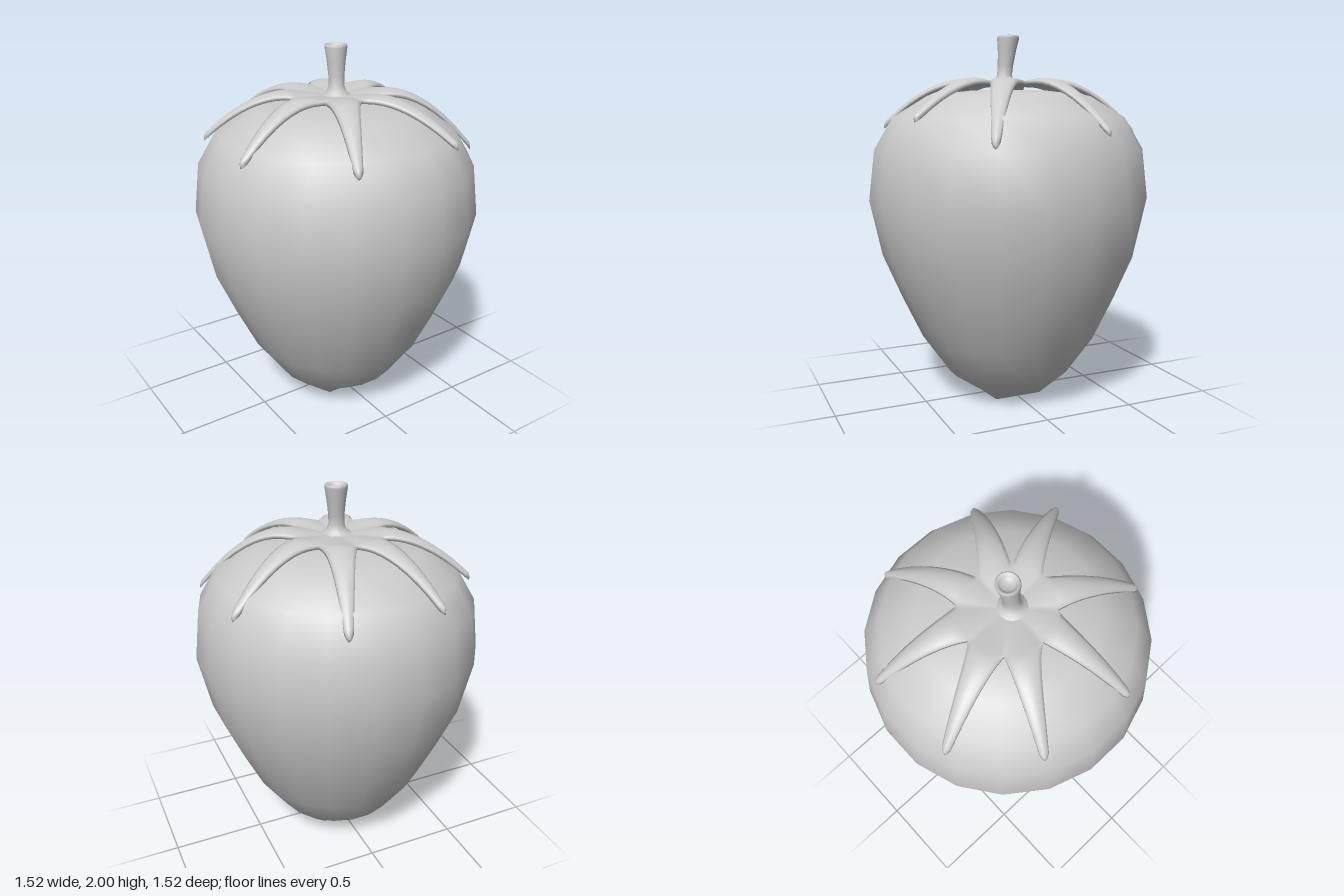
import * as THREE from 'three';
import { mergeVertices } from 'three/addons/utils/BufferGeometryUtils.js';

const material = new THREE.MeshStandardMaterial({ color: 0xcccccc, roughness: 0.8, side: THREE.DoubleSide });

// Weld coincident vertices and give the surface smooth normals
function smooth(geometry) {
  geometry.deleteAttribute('normal');
  geometry.deleteAttribute('uv');
  const welded = mergeVertices(geometry, 1e-4);
  welded.computeVertexNormals();
  return welded;
}

function lathe(profile, sides, phiStart = 0) {
  return new THREE.LatheGeometry(profile.map(([r, y]) => new THREE.Vector2(r, y)), sides, phiStart);
}

function addMesh(group, name, geometry) {
  const mesh = new THREE.Mesh(geometry, material);
  mesh.name = name;
  group.add(mesh);
}

// Fruit: a twenty-sided turned body whose lowest ring becomes a small square
function fruitGeometry() {
  const geometry = lathe([[0, 0], [0.133, 0], [0.345, 0.14], [0.493, 0.35], [0.602, 0.58], [0.705, 0.82],
    [0.77, 1.12], [0.738, 1.39], [0.638, 1.56], [0.45, 1.675], [0.23, 1.702], [0, 1.71]], 20, Math.PI / 20);
  const p = geometry.attributes.position;
  for (let i = 0; i < p.count; i++) {
    const x = p.getX(i), z = p.getZ(i), r = Math.hypot(x, z);
    if (p.getY(i) > 0.001 || r < 0.01) continue;
    const k = r / Math.max(Math.abs(x), Math.abs(z));
    p.setX(i, x * k);
    p.setZ(i, z * k);
  }
  return smooth(geometry);
}

// Leaf tips [x, y, z] and the notch [x, z] before each, counter-clockwise from above
const TIPS = [[0.30, 1.56, 0.63], [0.65, 1.44, 0.355], [0.655, 1.49, -0.255], [0.235, 1.48, -0.665],
  [-0.27, 1.52, -0.66], [-0.615, 1.53, -0.335], [-0.665, 1.52, 0.18], [-0.295, 1.52, 0.625]];
const NOTCHES = [[0, 0.23], [0.14, 0.16], [0.21, 0], [0.17, -0.17],
  [0, -0.25], [-0.17, -0.18], [-0.24, 0], [-0.17, 0.16]];
const INNER = 3, OUTER = 10, ACROSS = 8, THICK = 0.018;

// One leaf as rows of points running from the centre, past its notches, to the tip
function leafRows([tx, ty, tz], notchA, notchB) {
  const tip = new THREE.Vector2(tx, tz), length = tip.length();
  const along = tip.clone().normalize();
  const side = new THREE.Vector2(along.y, -along.x);
  const at = (u, w) => along.clone().multiplyScalar(u * length).addScaledVector(side, w);
  const edges = [[notchA, -1], [notchB, 1]].map(([n, sign]) => {
    const notch = new THREE.Vector2(...n);
    const curve = new THREE.CubicBezierCurve(notch, at(0.44, sign * 0.065), at(0.65, sign * 0.05), at(0.965, sign * 0.022));
    const points = [];
    for (let i = 0; i < INNER; i++) points.push(notch.clone().multiplyScalar(i / INNER));
    for (let i = 0; i <= OUTER; i++) points.push(curve.getPoint(i / OUTER));
    points.push(at(0.99, sign * 0.012), tip.clone());
    return points;
  });
  return edges[0].map((a, row) => {
    const outer = THREE.MathUtils.clamp((row - 1) / INNER, 0, 1);
    const points = [];
    for (let j = 0; j <= ACROSS; j++) {
      const s = j / ACROSS, q = a.clone().lerp(edges[1][row], s);
      const u = q.dot(along) / length;
      const drop = (1.755 - ty) * Math.pow(Math.max(0, (u - 0.38) / 0.62), 1.8);
      const dip = 0.012 * Math.max(0, 1 - q.length() / 0.2);
      const arch = row === edges[0].length - 1 ? 0 : 0.016 * outer * (1 - (2 * s - 1) ** 2);
      points.push([q.x, 1.75 - drop - dip + arch, q.y]);
    }
    return points;
  });
}

// Leaf crown: upper and lower sheets, joined by a rim outside the notches
function crownGeometry() {
  const data = [];
  const low = ([x, y, z]) => [x, y - THICK, z];
  const quad = (a, b, c, d) => data.push(...a, ...b, ...c, ...b, ...d, ...c);
  TIPS.forEach((tip, i) => {
    const rows = leafRows(tip, NOTCHES[i], NOTCHES[(i + 1) % NOTCHES.length]);
    for (let r = 0; r < rows.length - 1; r++) {
      const [p, n] = [rows[r], rows[r + 1]];
      for (let j = 0; j < ACROSS; j++) {
        quad(p[j], n[j], p[j + 1], n[j + 1]);
        quad(low(p[j]), low(p[j + 1]), low(n[j]), low(n[j + 1]));
      }
      if (r >= INNER) {
        quad(p[0], low(p[0]), n[0], low(n[0]));
        quad(p[ACROSS], n[ACROSS], low(p[ACROSS]), low(n[ACROSS]));
      }
    }
  });
  const geometry = new THREE.BufferGeometry();
  geometry.setAttribute('position', new THREE.Float32BufferAttribute(data, 3));
  return smooth(geometry);
}

// Stem: flared at both ends, hollowed on top, its foot leaning forward
function stemGeometry() {
  const geometry = lathe([[0.09, 1.735], [0.055, 1.755], [0.041, 1.79], [0.042, 1.84], [0.05, 1.92],
    [0.06, 1.985], [0.058, 1.998], [0.05, 2], [0.042, 1.99], [0.03, 1.978], [0, 1.975]], 16);
  const p = geometry.attributes.position;
  for (let i = 0; i < p.count; i++) {
    const lean = (2 - p.getY(i)) / 0.26;
    p.setX(i, p.getX(i) - 0.012 * lean);
    p.setZ(i, p.getZ(i) + 0.024 * lean);
  }
  return smooth(geometry);
}

export function createModel() {
  const model = new THREE.Group();
  model.name = 'strawberry';
  addMesh(model, 'fruit', fruitGeometry());
  addMesh(model, 'leafCrown', crownGeometry());
  addMesh(model, 'stem', stemGeometry());
  return model;
}
